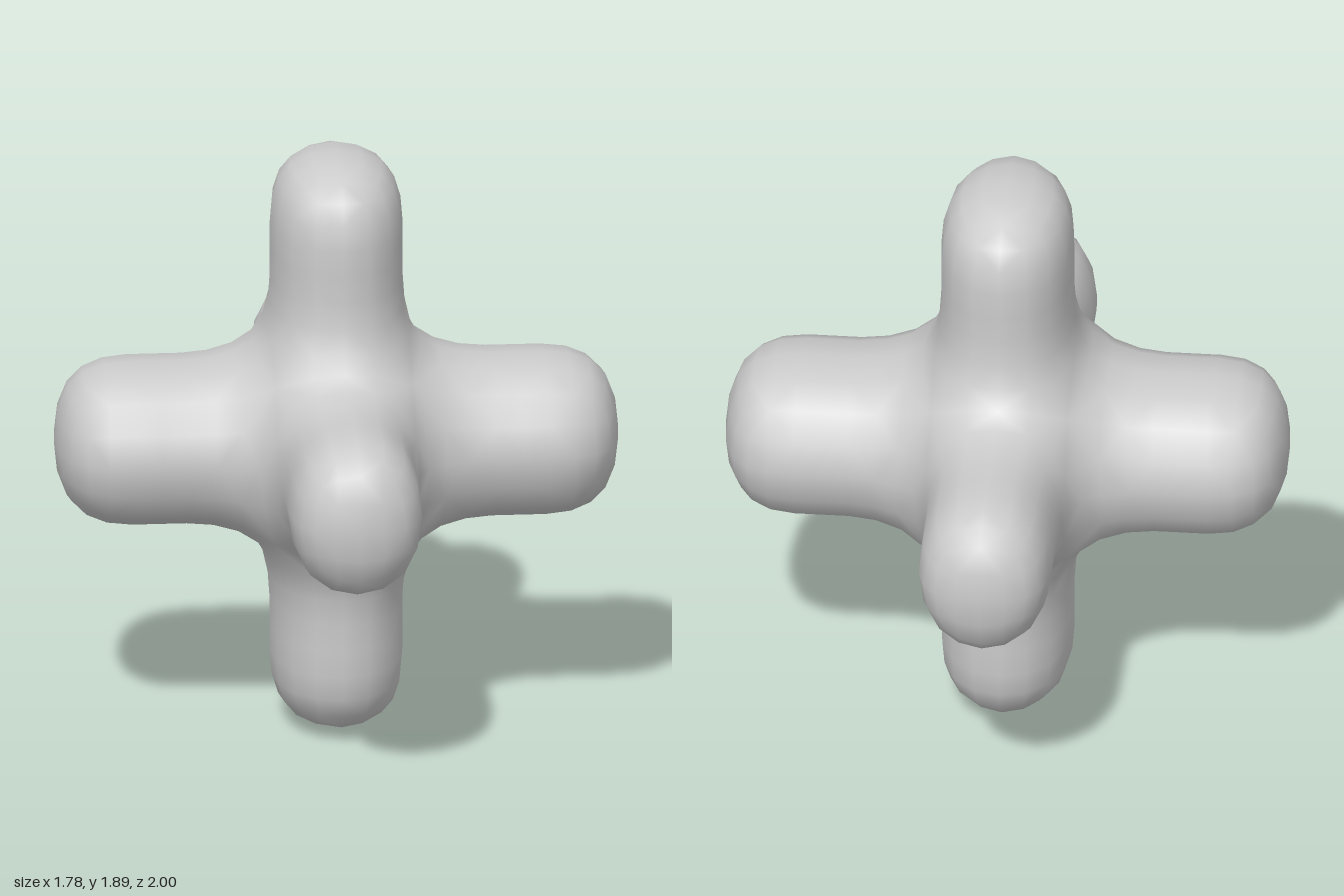
import * as THREE from 'three';

const CORE = [0.224, 0.276, 0.331]; // half size of the central block
const STEP = 0.344;                 // length of one arm segment
const SEGMENTS = 2;

// Control cage: a block with every face extruded into a straight arm
function armCage() {
  const points = [], faces = [], ids = new Map();
  const id = (p) => {
    const key = p.map((n) => n.toFixed(4)).join();
    if (!ids.has(key)) {
      ids.set(key, points.length);
      points.push(new THREE.Vector3(...p));
    }
    return ids.get(key);
  };
  for (let k = 0; k < 3; k++) for (const s of [1, -1]) {
    const u = (k + 1) % 3, v = (k + 2) % 3;
    const ring = (n) => {
      const r = [[-1, -1], [1, -1], [1, 1], [-1, 1]].map(([a, b]) => {
        const p = [0, 0, 0];
        p[k] = s * (CORE[k] + n * STEP);
        p[u] = a * CORE[u];
        p[v] = b * CORE[v];
        return id(p);
      });
      return s > 0 ? r : r.reverse();
    };
    for (let n = 0; n < SEGMENTS; n++) {
      const a = ring(n), b = ring(n + 1);
      for (let i = 0; i < 4; i++) {
        const j = (i + 1) % 4;
        faces.push([a[i], a[j], b[j], b[i]]);
      }
    }
    faces.push(ring(SEGMENTS)); // end cap
  }
  return { points, faces };
}

const average = (list) =>
  list.reduce((sum, p) => sum.add(p), new THREE.Vector3()).divideScalar(list.length);

// One step of Catmull-Clark smoothing on a closed quad mesh
function smooth({ points, faces }) {
  const centres = faces.map((f) => average(f.map((i) => points[i])));
  const edges = new Map();
  const around = points.map(() => ({ centres: [], mids: [] }));
  const edgeKey = (a, b) => (a < b ? a + '_' + b : b + '_' + a);

  faces.forEach((f, fi) => f.forEach((a, i) => {
    const b = f[(i + 1) % f.length], key = edgeKey(a, b);
    around[a].centres.push(centres[fi]);
    if (!edges.has(key)) {
      const mid = average([points[a], points[b]]);
      around[a].mids.push(mid);
      around[b].mids.push(mid);
      edges.set(key, { ends: [points[a], points[b]], centres: [] });
    }
    edges.get(key).centres.push(centres[fi]);
  }));

  const out = points.map((p, i) => {
    const n = around[i].mids.length;
    return average(around[i].centres)
      .addScaledVector(average(around[i].mids), 2)
      .addScaledVector(p, n - 3)
      .divideScalar(n);
  });
  const firstCentre = out.length;
  out.push(...centres);
  for (const e of edges.values()) {
    e.id = out.length;
    out.push(average([...e.ends, ...e.centres]));
  }
  const quads = [];
  faces.forEach((f, fi) => f.forEach((a, i) => {
    const next = f[(i + 1) % f.length], prev = f[(i + f.length - 1) % f.length];
    quads.push([a, edges.get(edgeKey(a, next)).id, firstCentre + fi, edges.get(edgeKey(prev, a)).id]);
  }));
  return { points: out, faces: quads };
}

export function createModel() {
  const { points, faces } = smooth(smooth(armCage()));
  const geometry = new THREE.BufferGeometry().setFromPoints(points);
  geometry.setIndex(faces.flatMap(([a, b, c, d]) => [a, b, c, a, c, d]));
  geometry.computeVertexNormals();

  // Stand the lower arm on the ground
  geometry.computeBoundingBox();
  geometry.translate(0, -geometry.boundingBox.min.y, 0);

  const body = new THREE.Mesh(geometry, new THREE.MeshStandardMaterial({ color: 0xcccccc }));
  body.name = 'sixArmedBody';
  const group = new THREE.Group();
  group.name = 'sixArmedJack';
  group.add(body);
  return group;
}
